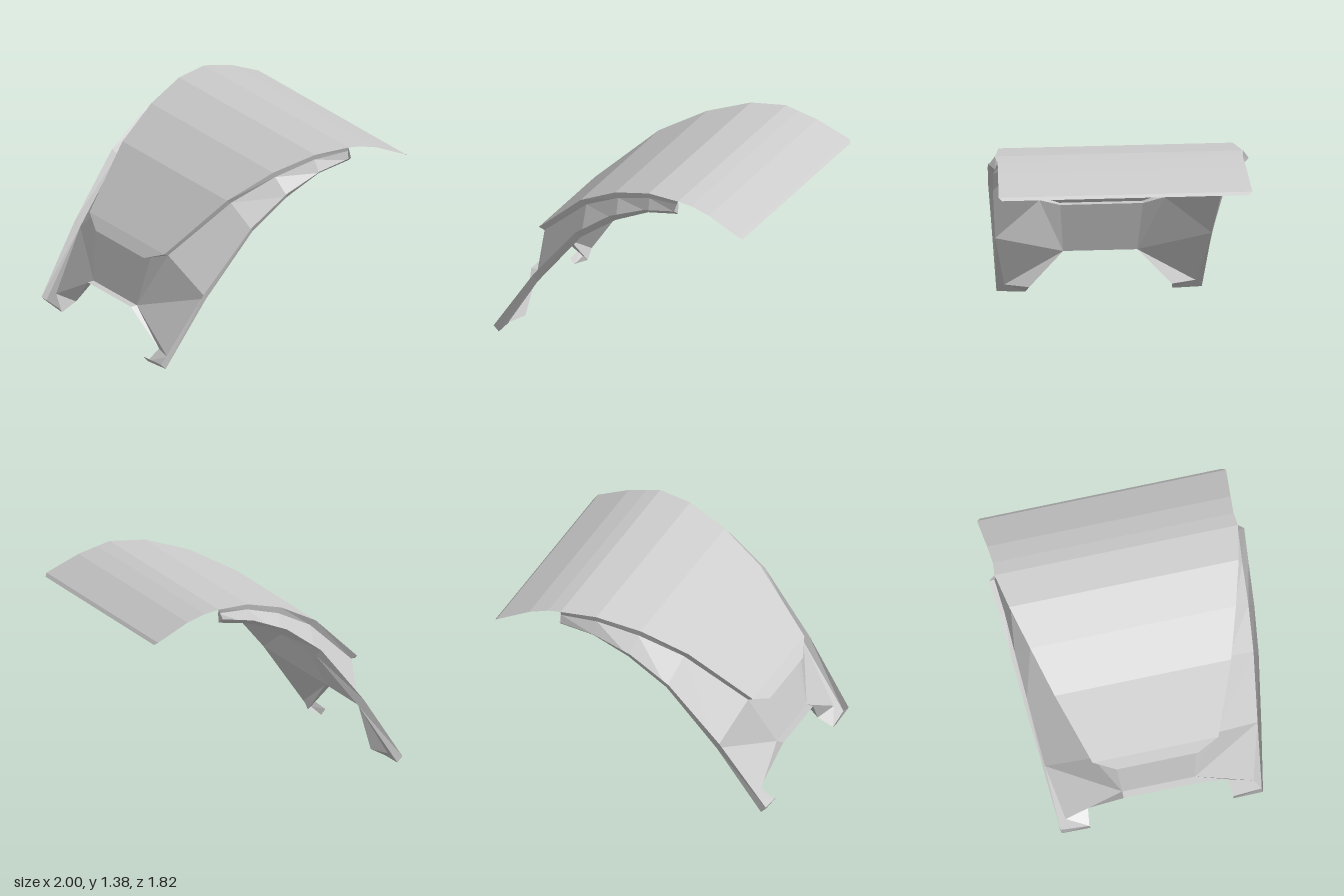
import * as THREE from 'three';

const material = new THREE.MeshStandardMaterial({
  color: 0xcccccc, flatShading: true, side: THREE.DoubleSide,
});

// Mesh from a list of planar polygons, each a loop of [x, y, z] corners
function sheet(name, polygons) {
  const pos = [];
  for (const p of polygons) {
    for (let i = 1; i < p.length - 1; i++) pos.push(...p[0], ...p[i], ...p[i + 1]);
  }
  const geo = new THREE.BufferGeometry();
  geo.setAttribute('position', new THREE.Float32BufferAttribute(pos, 3));
  geo.computeVertexNormals();
  const mesh = new THREE.Mesh(geo, material);
  mesh.name = name;
  return mesh;
}

// Quads joining two paths of equal length
function strip(a, b) {
  return a.slice(1).map((p, i) => [a[i], b[i], b[i + 1], p]);
}

const flip = ([x, y, z]) => [x, y, -z];

export function createModel() {
  const model = new THREE.Group();

  // Edge of the top shell, from its lower lip to the free end
  const shell = [
    [-0.84, 0.67, 0.29], [-0.78, 0.74, 0.45], [-0.37, 1.11, 0.63], [-0.05, 1.28, 0.735],
    [0.25, 1.37, 0.82], [0.5, 1.38, 0.87], [0.6, 1.36, 0.86], [0.74, 1.32, 0.87],
    [0.98, 1.21, 0.89], [1, 1.19, 0.865],
  ];
  // Inner edge of the sunken side wall, just under the shell
  const recess = [
    [-0.78, 0.67, 0.29], [-0.74, 0.72, 0.44], [-0.33, 1.08, 0.62], [-0.03, 1.24, 0.73],
    [0.25, 1.33, 0.81], [0.5, 1.35, 0.86],
  ];
  // Foot of the side wall and the flared lip outside it
  const wallFoot = [
    [-0.96, 0.01, 0.72], [-0.64, 0.48, 0.76], [-0.28, 0.92, 0.81], [0, 1.12, 0.835],
    [0.26, 1.24, 0.85], [0.5, 1.285, 0.87],
  ];
  const lip = [
    [-1, 0.05, 0.72], [-0.67, 0.53, 0.78], [-0.31, 0.96, 0.84], [-0.03, 1.16, 0.87],
    [0.24, 1.27, 0.89], [0.49, 1.32, 0.912],
  ];
  // Lower panel corner, its flange and the foot
  const corner = [-0.88, 0.31, 0.26], flange = [-0.93, 0.31, 0.26];
  const heel = [-0.91, 0.07, 0.67], tip = [-0.86, 0.06, 0.5];
  const toe = [-0.97, 0, 0.515], toeLip = [-1, 0.04, 0.51];

  // Parts crossing the middle
  model.add(sheet('topShell', strip(shell, shell.map(flip))));
  model.add(sheet('lowerPanel', [
    [recess[0], flip(recess[0]), flip(corner), corner],
    [shell[0], flip(shell[0]), flip(recess[0]), recess[0]],
    [corner, flip(corner), flip(flange), flange],
  ]));

  // Parts repeated on each side
  const sideParts = {
    Riser: strip(shell.slice(0, 6), recess),
    Wall: strip(recess.slice(1), wallFoot.slice(1)),
    Lip: strip(wallFoot, lip),
    EndCap: [[shell[5], lip[5], wallFoot[5], recess[5]]],
    LegPanel: [
      [recess[0], corner, recess[1]], [recess[1], corner, wallFoot[1]],
      [wallFoot[1], corner, heel], [wallFoot[1], heel, wallFoot[0]],
    ],
    LegFlange: [[corner, flange, tip], [corner, tip, heel]],
    Foot: [
      [wallFoot[0], heel, toe], [heel, tip, toe],
      [wallFoot[0], toe, toeLip, lip[0]],
    ],
  };
  for (const [part, polygons] of Object.entries(sideParts)) {
    model.add(sheet('front' + part, polygons));
    model.add(sheet('back' + part, polygons.map((p) => p.map(flip).reverse())));
  }
  return model;
}
